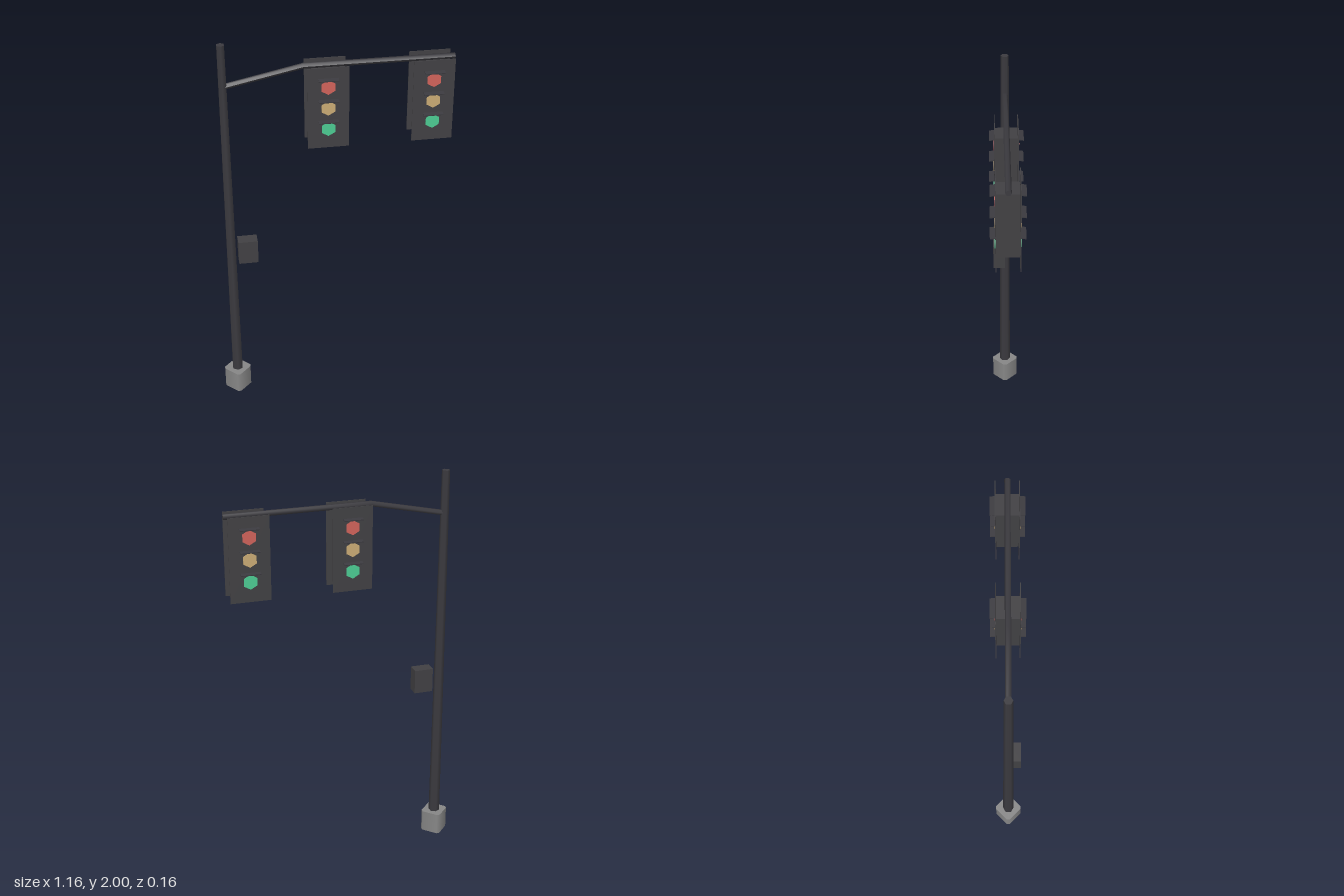
import * as THREE from 'three';

const mat = (name, color) => {
  const m = new THREE.MeshStandardMaterial({ color });
  m.name = name;
  return m;
};

export function createModel() {
  const group = new THREE.Group();
  const steel = mat('dark steel', 0x3b3a3f);
  const casing = mat('signal casing', 0x414043);
  const concrete = mat('concrete', 0x868686);
  const lensMats = [mat('red lens', 0xd0625a), mat('amber lens', 0xc9aa74), mat('green lens', 0x4ccb92)];

  const add = (parent, name, geometry, material, x = 0, y = 0, z = 0) => {
    const mesh = new THREE.Mesh(geometry, material);
    mesh.name = name;
    mesh.position.set(x, y, z);
    parent.add(mesh);
    return mesh;
  };
  const poleX = -0.517;

  // Square footing set cornerwise: pairs of the eight edges are pulled towards each corner
  const footing = new THREE.CylinderGeometry(0.068, 0.068, 0.115, 8);
  footing.rotateY(Math.PI / 8);
  const fp = footing.attributes.position;
  for (let i = 0; i < fp.count; i++) {
    const r = Math.hypot(fp.getX(i), fp.getZ(i));
    if (r < 0.001) continue;
    const a = Math.atan2(fp.getZ(i), fp.getX(i));
    const corner = Math.round(a / (Math.PI / 2)) * Math.PI / 2;
    const b = corner + Math.sign(a - corner) * 0.12;
    fp.setXYZ(i, r * Math.cos(b), fp.getY(i), r * Math.sin(b));
  }
  add(group, 'footing', footing, concrete, poleX, 0.0575, 0);

  // Tapered pole
  add(group, 'pole', new THREE.CylinderGeometry(0.02, 0.029, 1.89, 6), steel, poleX, 1.055, 0);

  // Bent arm: three rings moved to their stations
  const arm = new THREE.CylinderGeometry(0.014, 0.014, 2, 6, 2);
  arm.rotateZ(-Math.PI / 2);
  const stations = [[-0.512, 1.788], [-0.14, 1.867], [0.58, 1.866]];
  const ap = arm.attributes.position;
  for (let i = 0; i < ap.count; i++) {
    const [x, y] = stations[Math.round(ap.getX(i)) + 1];
    ap.setXYZ(i, x, ap.getY(i) + y, ap.getZ(i));
  }
  arm.computeVertexNormals();
  add(group, 'arm', arm, steel);

  // Control box on the pole
  add(group, 'controlBox', new THREE.BoxGeometry(0.097, 0.126, 0.062), casing, -0.436, 0.892, 0.032);

  // Two-sided signal heads
  const lens = new THREE.CylinderGeometry(0.037, 0.037, 0.004, 6);
  lens.rotateX(Math.PI / 2);
  const visor = new THREE.BoxGeometry(0.096, 0.004, 0.026);
  for (const x of [-0.031, 0.471]) {
    const head = new THREE.Group();
    head.name = 'signalHead';
    head.position.x = x;
    group.add(head);
    add(head, 'housing', new THREE.BoxGeometry(0.108, 0.325, 0.106), casing, 0, 1.667, 0);
    for (const turn of [0, Math.PI]) {
      const face = new THREE.Group();
      face.name = turn ? 'backFace' : 'frontFace';
      face.rotation.y = turn;
      head.add(face);
      add(face, 'backplate', new THREE.BoxGeometry(0.198, 0.418, 0.004), casing, 0, 1.666, 0.055);
      lensMats.forEach((material, i) => {
        const y = 1.775 - i * 0.109;
        add(face, 'lens', lens, material, 0, y, 0.058);
        add(face, 'visor', visor, steel, 0, y + 0.043, 0.068).rotation.x = 0.14;
      });
    }
  }
  return group;
}
